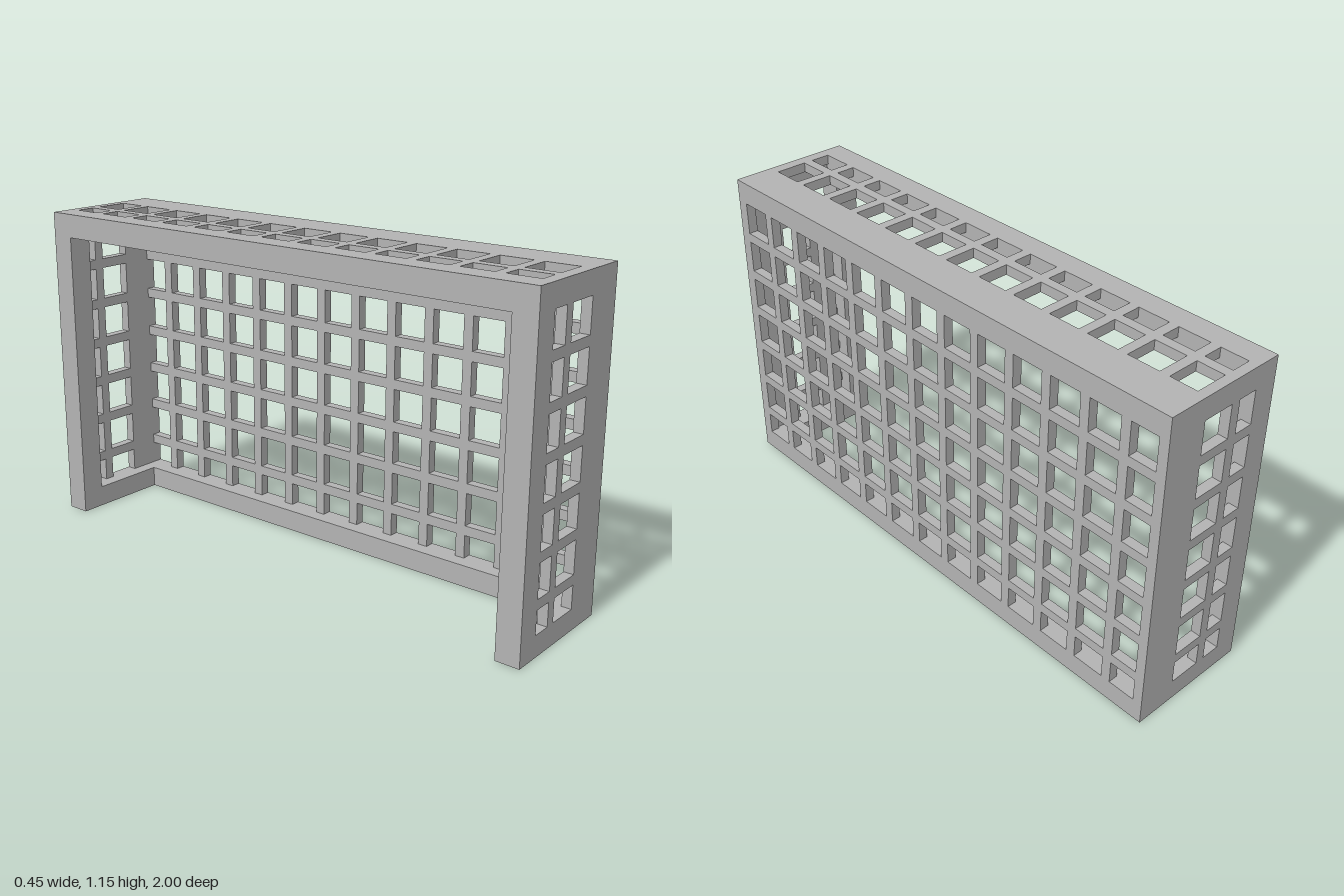
import * as THREE from 'three';

const X = 0.227, H = 1.15, Z = 1;      // outer half width, height, half length
const T = 0.035;                       // panel thickness
const F = 0.085;                       // frame bar thickness
const SILL = 0.076;                    // height of the bottom bars
const POST = -0.14;                    // inner edge of the opening frame
const PITCH = 0.152, HOLE = 0.117;

// Hole spans [from, to] along each axis
const xSpans = [[POST, -0.07], [-0.035, 0.081]];
const ySpans = [], zSpans = [];
for (let i = 0; i < 7; i++) {
  const top = 1.071 - i * PITCH;
  ySpans.push([Math.max(top - HOLE, SILL), top]);
}
for (let i = 0; i < 13; i++) {
  const end = 0.957 - i * PITCH;
  zSpans.push([Math.max(end - HOLE, -Z + T), end]);
}

export function createModel() {
  const model = new THREE.Group();
  model.name = 'latticeGoal';
  const grey = new THREE.MeshStandardMaterial({ color: 0xb3b3b3 });
  grey.name = 'plain grey';

  const add = (name, geometry) => {
    const mesh = new THREE.Mesh(geometry, grey);
    mesh.name = name;
    model.add(mesh);
    return mesh;
  };

  // Rectangle u0..u1 by v0..v1 with a grid of holes, extruded to panel thickness
  const lattice = (u0, u1, v0, v1, uSpans, vSpans) => {
    const rect = (Type, a, b, c, d) => new Type([
      new THREE.Vector2(a, c), new THREE.Vector2(b, c),
      new THREE.Vector2(b, d), new THREE.Vector2(a, d),
    ]);
    const shape = rect(THREE.Shape, u0, u1, v0, v1);
    for (const [a, b] of uSpans)
      for (const [c, d] of vSpans) shape.holes.push(rect(THREE.Path, a, b, c, d));
    return new THREE.ExtrudeGeometry(shape, { depth: T, bevelEnabled: false });
  };

  // Box given by its extents
  const bar = (name, x0, x1, y0, y1, z0, z1) =>
    add(name, new THREE.BoxGeometry(x1 - x0, y1 - y0, z1 - z0))
      .position.set((x0 + x1) / 2, (y0 + y1) / 2, (z0 + z1) / 2);

  // Large lattice wall
  add('netWall', lattice(-Z, Z, 0, H, zSpans, ySpans).rotateY(-Math.PI / 2)).position.x = X;

  // Lattice roof
  add('netRoof', lattice(-X, X - T, -Z, Z, xSpans, zSpans).rotateX(Math.PI / 2)).position.y = H;

  // End walls with their thicker post and bottom bar
  for (const s of [1, -1]) {
    const end = s > 0 ? 'front' : 'back';
    add(end + 'EndWall', lattice(-X, X - T, 0, H - T, xSpans, ySpans)).position.z = s > 0 ? Z - T : -Z;
    const z0 = s > 0 ? Z - F : -Z + T, z1 = z0 + F - T;
    bar(end + 'Post', -X, POST, 0, H - T, z0, z1);
    bar(end + 'BottomBar', POST, X - T, 0, SILL, z0, z1);
  }

  // Crossbar over the opening and bottom bar of the large wall
  bar('crossbar', -X, POST, H - F, H - T, -Z + F, Z - F);
  bar('wallBottomBar', 0.14, X - T, 0, SILL, -Z + F, Z - F);

  return model;
}
